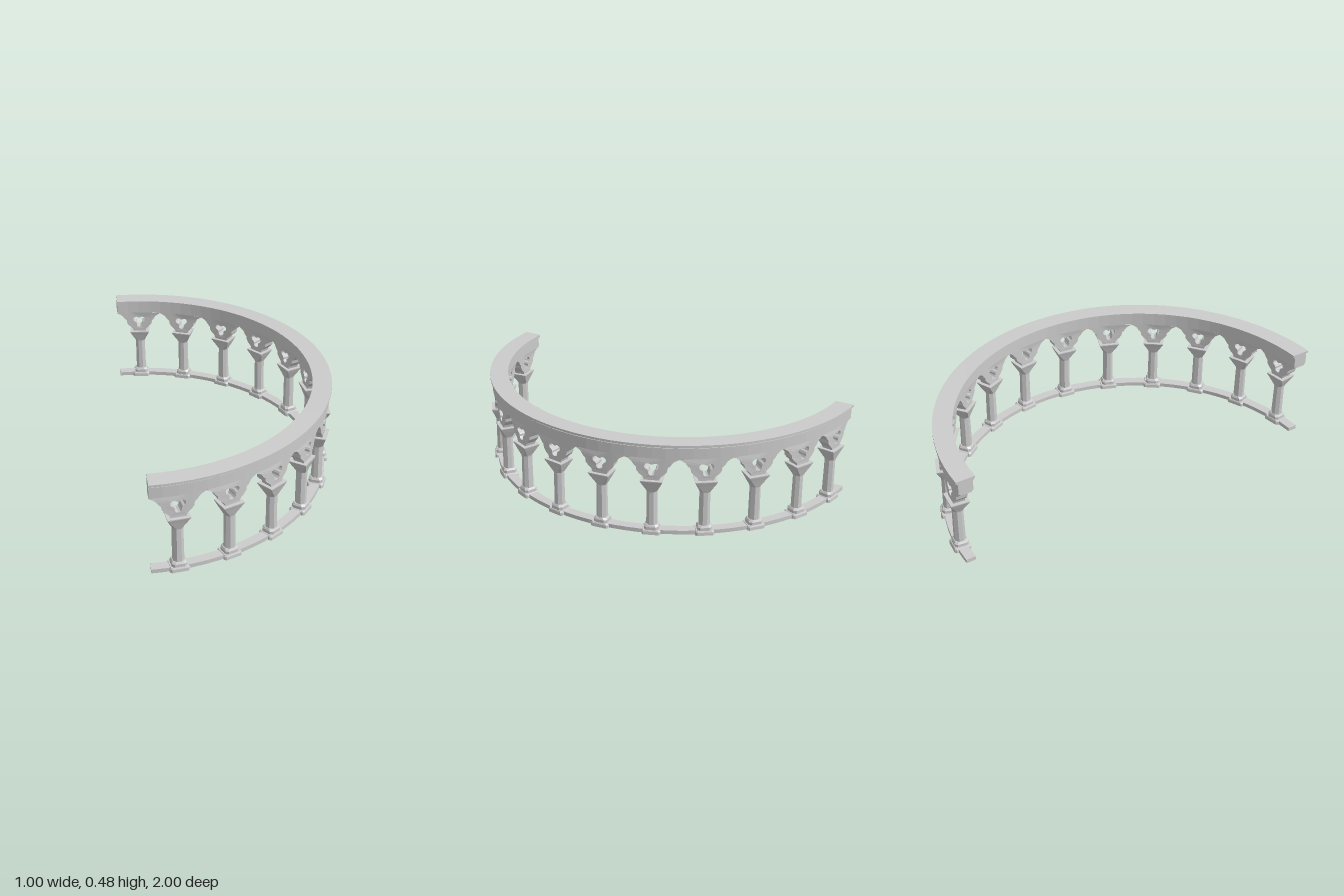
import * as THREE from 'three';

const R = 0.954;               // radius of the column line
const BAYS = 12;
const STEP = Math.PI / BAYS;
const HALF = R * STEP / 2;     // half a bay, measured along the arc

const stone = new THREE.MeshStandardMaterial({ color: 0xcccccc, flatShading: true });

function part(name, geometry) {
  const mesh = new THREE.Mesh(geometry, stone);
  mesh.name = name;
  return mesh;
}

// Half ring between two radii, opening towards -x
function halfRing(inner, outer, y0, y1) {
  const s = new THREE.Shape();
  s.absarc(0, 0, outer, -Math.PI / 2, Math.PI / 2, false);
  s.absarc(0, 0, inner, Math.PI / 2, -Math.PI / 2, true);
  const g = new THREE.ExtrudeGeometry(s, { depth: y1 - y0, bevelEnabled: false, curveSegments: 24 });
  return g.rotateX(-Math.PI / 2).translate(-0.5, y0, 0);
}

// Stack of chamfered rectangles: [y, half width, half depth, chamfer]
function loft(sections) {
  const pos = [], index = [], n = 8;
  for (const [y, w, d, c] of sections) {
    const ring = [[w, -d + c], [w, d - c], [w - c, d], [-w + c, d], [-w, d - c], [-w, -d + c], [-w + c, -d], [w - c, -d]];
    for (const [x, z] of ring) pos.push(x, y, z);
  }
  const last = (sections.length - 1) * n;
  for (let k = 0; k < last; k += n) {
    for (let j = 0; j < n; j++) {
      const a = k + j, b = k + (j + 1) % n;
      index.push(a, a + n, b, b, a + n, b + n);
    }
  }
  for (let j = 1; j < n - 1; j++) index.push(0, j, j + 1, last, last + j + 1, last + j);
  const g = new THREE.BufferGeometry();
  g.setAttribute('position', new THREE.Float32BufferAttribute(pos, 3));
  g.setIndex(index);
  g.computeVertexNormals();
  return g;
}

// Spandrel with cusped arch edges and a trefoil opening, bent to the ring
function spandrelGeometry() {
  const side = [[0.035, 0.285], [0.04, 0.302], [0.058, 0.318], [0.07, 0.333], [0.073, 0.352],
    [0.084, 0.362], [0.096, 0.38], [0.11, 0.39], [HALF, 0.397]];
  const top = [1, 0.5, 0, -0.5, -1].map(t => [t * HALF, 0.41]);
  const outline = [...side, ...top, ...side.map(([x, y]) => [-x, y]).reverse()];
  const shape = new THREE.Shape(outline.map(p => new THREE.Vector2(...p)));

  const hole = [];
  for (const lobe of [30, 150, 270]) {
    const a = THREE.MathUtils.degToRad(lobe);
    for (let k = -3; k <= 3; k++) {
      const b = a + k * 0.66;
      hole.push(new THREE.Vector2(
        0.021 * Math.cos(a) + 0.0165 * Math.cos(b),
        0.347 + 0.021 * Math.sin(a) + 0.0165 * Math.sin(b)));
    }
  }
  shape.holes.push(new THREE.Path(hole));

  const depth = 0.056;
  const g = new THREE.ExtrudeGeometry(shape, { depth, bevelEnabled: false });
  const p = g.attributes.position;
  for (let i = 0; i < p.count; i++) {
    const a = p.getX(i) / R, r = R + p.getZ(i) - depth / 2;
    p.setX(i, r * Math.sin(a));
    p.setZ(i, r * Math.cos(a) - R);
  }
  g.computeVertexNormals();
  return g;
}

export function createModel() {
  const model = new THREE.Group();
  model.name = 'curvedArcade';

  // Continuous rings
  model.add(part('baseStrip', halfRing(0.93, 0.978, 0, 0.02)));
  model.add(part('frieze', halfRing(0.917, 0.99, 0.404, 0.459)));
  model.add(part('moulding', halfRing(0.912, 0.986, 0.459, 0.467)));
  model.add(part('copingSlab', halfRing(0.905, 1, 0.467, 0.478)));

  // Column pieces, shared by every bay
  const pieces = {
    plinth: loft([[0, 0.046, 0.041, 0.008], [0.016, 0.045, 0.04, 0.008], [0.022, 0.041, 0.037, 0.008]]),
    columnBase: loft([[0.02, 0.035, 0.034, 0.012], [0.037, 0.035, 0.034, 0.012], [0.046, 0.029, 0.029, 0.014]]),
    shaft: loft([[0.044, 0.026, 0.026, 0.0152], [0.224, 0.0245, 0.0245, 0.0144]]),
    capital: loft([[0.221, 0.026, 0.026, 0.0152], [0.228, 0.028, 0.028, 0.014], [0.262, 0.044, 0.038, 0.006],
      [0.283, 0.053, 0.045, 0.001], [0.287, 0.053, 0.045, 0.001]]),
    spandrel: spandrelGeometry(),
  };

  for (let i = 0; i < BAYS; i++) {
    const a = (i + 0.5) * STEP;
    const bay = new THREE.Group();
    bay.name = `archBay${i + 1}`;
    for (const [name, geometry] of Object.entries(pieces)) bay.add(part(name, geometry));
    bay.position.set(-0.5 + R * Math.sin(a), 0, R * Math.cos(a));
    bay.rotation.y = a;
    model.add(bay);
  }
  return model;
}
